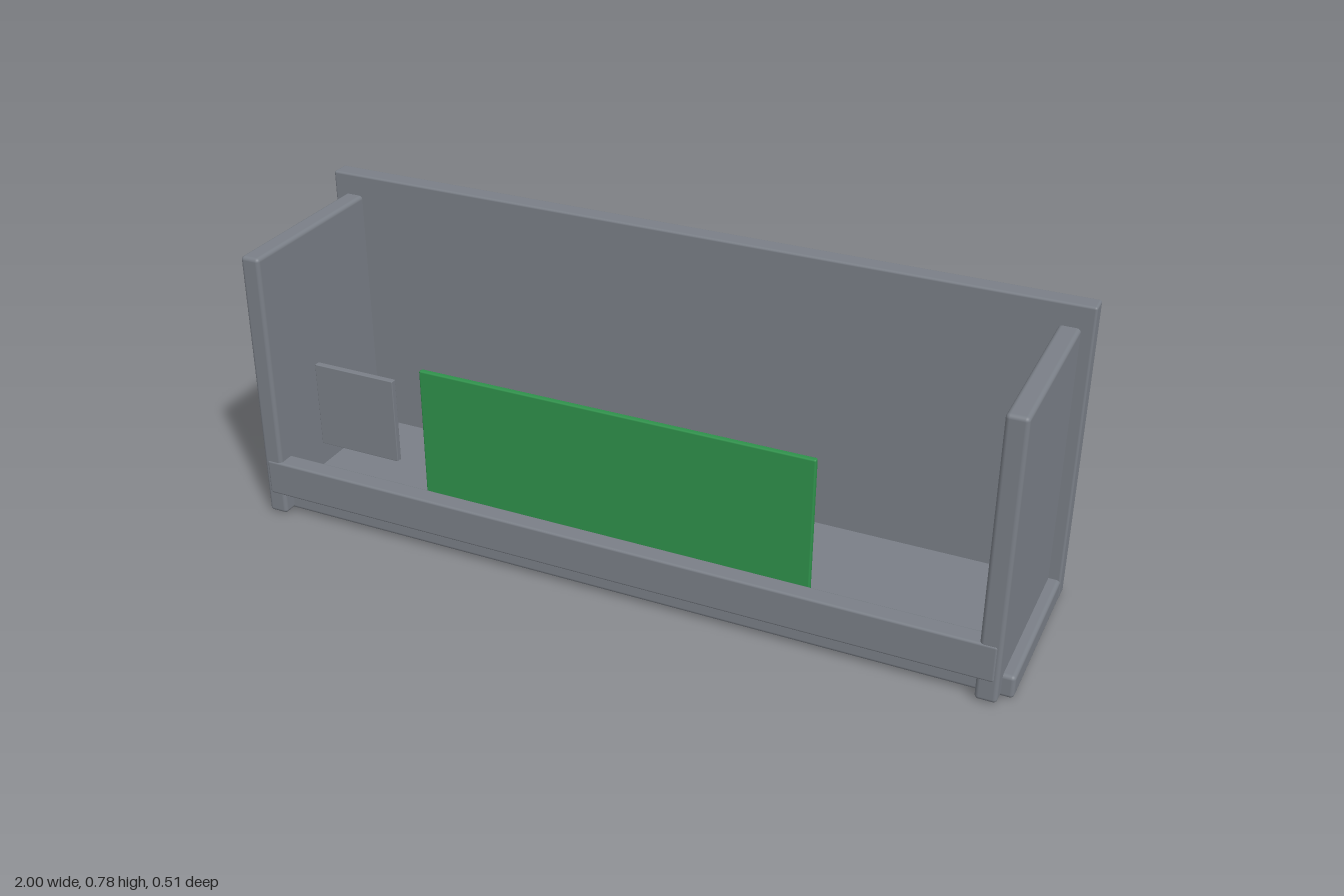
import * as THREE from 'three';
import { RoundedBoxGeometry } from 'three/addons/geometries/RoundedBoxGeometry.js';

export function createModel() {
  const model = new THREE.Group();
  model.name = 'openCase';
  const grey = new THREE.MeshStandardMaterial({ color: 0x7a7f87 });
  grey.name = 'panelGrey';
  const green = new THREE.MeshStandardMaterial({ color: 0x2f914b });
  green.name = 'boardGreen';

  // Softly edged panel given by its extents on each axis
  function panel(name, [x0, x1], [y0, y1], [z0, z1], radius = 0.008, material = grey) {
    const geometry = new RoundedBoxGeometry(x1 - x0, y1 - y0, z1 - z0, 3, radius);
    const mesh = new THREE.Mesh(geometry, material);
    mesh.name = name;
    mesh.position.set((x0 + x1) / 2, (y0 + y1) / 2, (z0 + z1) / 2);
    model.add(mesh);
  }

  // Case panels
  panel('backPanel', [-1, 1], [0.004, 0.782], [-0.255, -0.205], 0.006);
  panel('floorPanel', [-0.999, 0.999], [0, 0.06], [-0.25, 0.216], 0.01);
  panel('leftSidePanel', [0.918, 0.97], [0.003, 0.725], [-0.215, 0.253], 0.01);
  panel('rightSidePanel', [-0.97, -0.918], [0.003, 0.725], [-0.215, 0.253], 0.01);

  // Lip across the front
  panel('frontLip', [-0.96, 0.96], [0.06, 0.156], [0.205, 0.255], 0.006);

  // Upright plates behind the lip
  panel('displayBoard', [-0.512, 0.506], [0.06, 0.489], [0.19, 0.205], 0.004, green);
  panel('smallPlate', [-0.818, -0.593], [0.215, 0.44], [0.187, 0.203], 0.002);

  return model;
}
